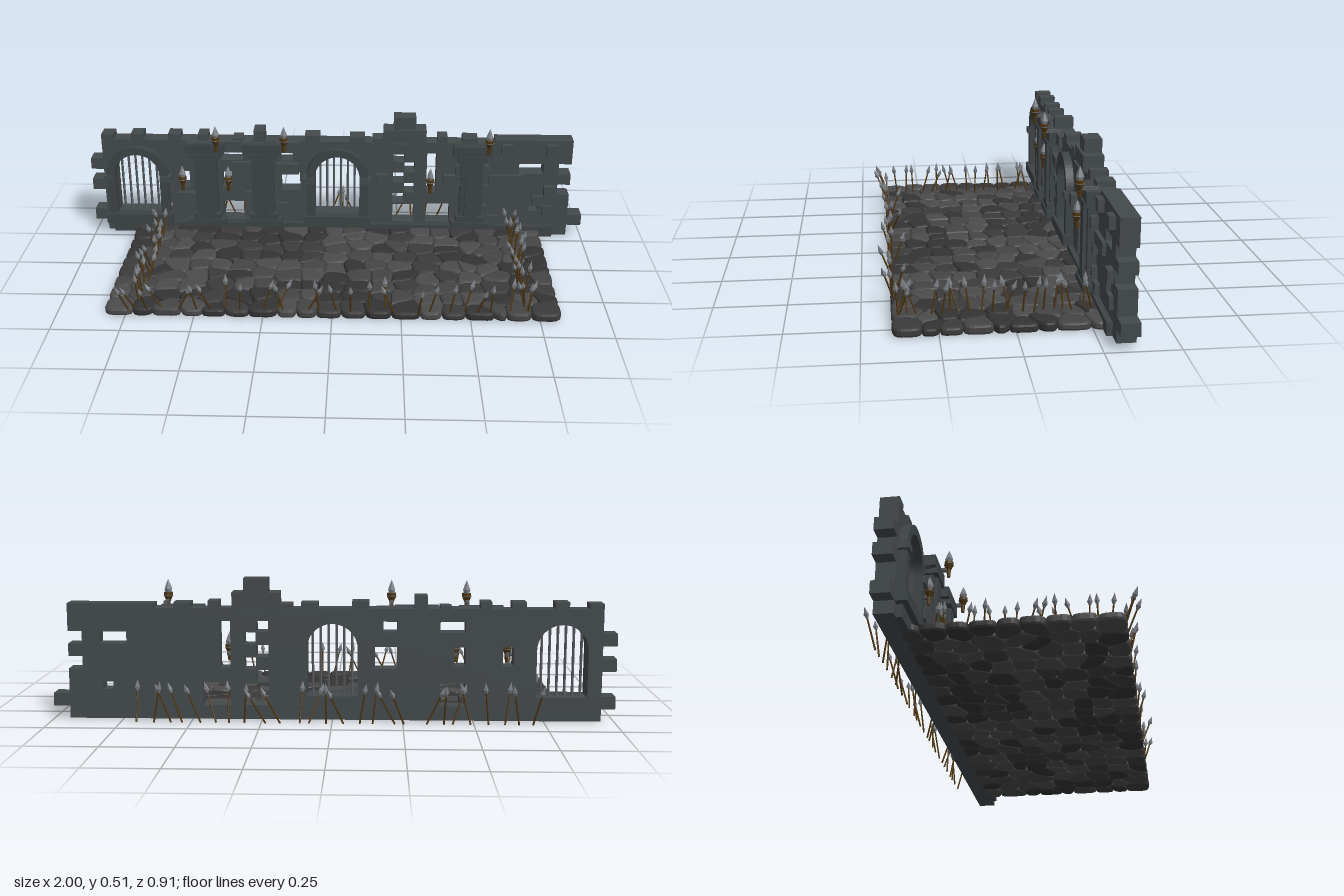
import * as THREE from 'three';

const mat = (color) => new THREE.MeshStandardMaterial({ color, flatShading: true, roughness: 0.9 });
const stoneMat = mat(0x43494c), trimMat = mat(0x3d4346), ironMat = mat(0x55595c);
const woodMat = mat(0x4f3610), steelMat = mat(0x7c8186);
const cobbleMats = [0x333333, 0x3b3b3b, 0x444444, 0x4b4b4b].map(mat);
const BACK = -0.365, FACE = -0.3;

let seed = 7;
const rand = (a = 0, b = 1) => {
  seed = (seed * 16807) % 2147483647;
  return a + (b - a) * (seed / 2147483647);
};

function add(parent, name, geo, material, x = 0, y = 0, z = 0) {
  const m = new THREE.Mesh(geo, material);
  m.name = name;
  m.position.set(x, y, z);
  parent.add(m);
  return m;
}

// box given by its limits
function block(parent, name, x0, x1, y0, y1, z0, z1, material = stoneMat) {
  return add(parent, name, new THREE.BoxGeometry(x1 - x0, y1 - y0, z1 - z0), material,
    (x0 + x1) / 2, (y0 + y1) / 2, (z0 + z1) / 2);
}

// round-headed outline for the gates
function arch(path, cx, r, y0, spring) {
  path.moveTo(cx - r, y0);
  path.lineTo(cx + r, y0);
  path.lineTo(cx + r, spring);
  path.absarc(cx, spring, r, 0, Math.PI, false);
  path.closePath();
  return path;
}

const gates = [-0.81, 0];
const pilasters = [-0.53, -0.3, 0.54];
// openings: x0, x1, y0, y1
const openings = [
  [-0.64, -0.6, 0.2, 0.27], [-0.47, -0.38, 0.32, 0.36], [-0.47, -0.43, 0.2, 0.27],
  [-0.47, -0.38, 0.055, 0.14], [-0.23, -0.18, 0.32, 0.36], [-0.23, -0.15, 0.19, 0.27],
  [0.225, 0.27, 0.32, 0.36], [0.27, 0.313, 0.275, 0.32], [0.225, 0.27, 0.23, 0.275],
  [0.27, 0.313, 0.185, 0.23], [0.225, 0.27, 0.14, 0.185], [0.225, 0.313, 0.055, 0.135],
  [0.36, 0.4, 0.19, 0.36], [0.36, 0.46, 0.055, 0.14], [0.73, 0.83, 0.275, 0.32], [0.78, 0.82, 0.11, 0.14],
];

function makeWall() {
  const wall = new THREE.Group();
  wall.name = 'ruinedWall';

  // main slab with toothed ends
  const outline = [[-0.95, 0.005], [0.94, 0.005], [0.94, 0.05], [0.998, 0.05], [0.998, 0.095], [0.94, 0.095],
    [0.94, 0.185], [0.89, 0.185], [0.89, 0.23], [0.94, 0.23], [0.94, 0.275], [0.89, 0.275], [0.89, 0.32],
    [0.94, 0.32], [0.94, 0.42], [0.63, 0.42], [0.63, 0.405], [-0.95, 0.405], [-0.95, 0.32], [-1, 0.32], [-1, 0.275],
    [-0.95, 0.275], [-0.95, 0.23], [-1, 0.23], [-1, 0.185], [-0.95, 0.185], [-0.95, 0.095], [-1, 0.095], [-1, 0.05],
    [-0.95, 0.05]];
  const shape = new THREE.Shape(outline.map((p) => new THREE.Vector2(...p)));
  const e = 0.0008;
  for (const [a, b, c, d] of openings) {
    shape.holes.push(new THREE.Path([[a + e, c + e], [a + e, d - e], [b - e, d - e], [b - e, c + e]]
      .map((p) => new THREE.Vector2(...p))));
  }
  for (const cx of gates) shape.holes.push(arch(new THREE.Path(), cx, 0.09, 0.09, 0.26));
  add(wall, 'wallSlab', new THREE.ExtrudeGeometry(shape, { depth: FACE - BACK, bevelEnabled: false, curveSegments: 14 }),
    stoneMat, 0, 0, BACK);

  // broken top edge: x0, x1, top
  const merlons = [[-0.95, -0.9, 0.425], [-0.83, -0.78, 0.43], [-0.68, -0.63, 0.43], [-0.56, -0.52, 0.43],
    [-0.42, -0.38, 0.415], [-0.335, -0.29, 0.45], [-0.13, -0.07, 0.43], [0.05, 0.11, 0.425],
    [0.14, 0.185, 0.42], [0.185, 0.355, 0.46], [0.225, 0.313, 0.51], [0.4, 0.44, 0.43], [0.5, 0.56, 0.425]];
  for (const [a, b, top] of merlons) block(wall, 'merlon', a, b, 0.4, top, BACK, FACE + (top > 0.43 && top < 0.5 ? 0.01 : 0));

  // plinth and raised bricks on the face
  block(wall, 'plinth', -0.92, 0.88, 0.005, 0.05, FACE - 0.01, -0.28, trimMat);
  for (let row = 0; row < 8; row++) {
    const y0 = 0.05 + row * 0.0444;
    for (let x = -0.92 + (row % 2) * 0.045; x < 0.84; x += 0.09) {
      const x1 = Math.min(x + (rand() < 0.5 ? 0.045 : 0.09), 0.88), y1 = y0 + 0.0444;
      const blocked = openings.some(([a, b, c, d]) => x < b && x1 > a && y0 < d - 0.005 && y1 > c + 0.005)
        || gates.some((g) => x < g + 0.125 && x1 > g - 0.125);
      if (rand() < 0.5 && !blocked) block(wall, 'raisedBrick', x, x1, y0, y1, FACE - 0.01, rand(-0.288, -0.272));
    }
  }

  // gates: arched surround, sill, keystone and bars
  for (const cx of gates) {
    const ring = arch(new THREE.Shape(), cx, 0.125, 0.055, 0.255);
    ring.holes.push(arch(new THREE.Path(), cx, 0.09, 0.09, 0.26));
    add(wall, 'gateSurround', new THREE.ExtrudeGeometry(ring, { depth: 0.035, bevelEnabled: false, curveSegments: 14 }),
      trimMat, 0, 0, FACE - 0.005);
    block(wall, 'gateSill', cx - 0.135, cx + 0.135, 0.05, 0.09, FACE - 0.01, -0.26, trimMat);
    for (const s of [-1, 1]) block(wall, 'gateImpost', cx + s * 0.115 - 0.022, cx + s * 0.115 + 0.022, 0.235, 0.26, FACE - 0.01, -0.262);
    for (let i = 0; i < 6; i++) {
      const dx = -0.07 + i * 0.028, top = 0.26 + Math.sqrt(0.0081 - dx * dx);
      add(wall, 'gateBar', new THREE.CylinderGeometry(0.005, 0.005, top - 0.085, 6), ironMat,
        cx + dx, (top + 0.085) / 2, -0.33);
    }
  }

  // stepped pilasters
  for (const cx of pilasters) {
    const steps = [[0.075, 0.05, 0.075, -0.25], [0.058, 0.075, 0.1, -0.255], [0.045, 0.1, 0.345, -0.268],
      [0.024, 0.1, 0.345, -0.255], [0.058, 0.345, 0.365, -0.25], [0.078, 0.365, 0.405, -0.255]];
    for (const [h, y0, y1, z] of steps) block(wall, 'pilasterBlock', cx - h, cx + h, y0, y1, FACE - 0.01, z, trimMat);
  }
  return wall;
}

const lathe = (pts, n) => new THREE.LatheGeometry(pts.map((p) => new THREE.Vector2(...p)), n);
const basketGeo = lathe([[0, 0], [0.006, 0], [0.008, 0.028], [0.016, 0.046], [0.016, 0.06], [0.011, 0.06], [0, 0.05]], 8);
const flameGeo = lathe([[0, 0.045], [0.009, 0.055], [0.0145, 0.072], [0.007, 0.092], [0, 0.108]], 6);
const bandGeo = new THREE.TorusGeometry(0.0155, 0.0025, 4, 8).rotateX(Math.PI / 2);

function makeTorch(x, y, z) {
  const torch = new THREE.Group();
  torch.name = 'torch';
  torch.position.set(x, y, z);
  add(torch, 'torchBasket', basketGeo, woodMat);
  add(torch, 'torchFlame', flameGeo, steelMat);
  add(torch, 'torchBand', bandGeo, ironMat, 0, 0.048, 0);
  block(torch, 'torchBracket', -0.006, 0.006, 0.024, 0.036, FACE - z, 0, ironMat);
  return torch;
}

const shaftGeo = new THREE.CylinderGeometry(0.003, 0.0035, 0.12, 5).translate(0, 0.06, 0);
const headGeo = lathe([[0, 0.11], [0.004, 0.112], [0.009, 0.124], [0, 0.152]], 4);

function makeSpear(x, z, leanX, leanZ) {
  const spear = new THREE.Group();
  spear.name = 'spear';
  spear.position.set(x, 0.004, z);
  spear.rotation.set(leanZ, rand(0, 0.4), -leanX);
  add(spear, 'spearShaft', shaftGeo, woodMat);
  add(spear, 'spearHead', headGeo, steelMat);
  return spear;
}

// keep the part of a convex polygon nearer to a than to b
function clipNearer(poly, a, b) {
  const nx = b[0] - a[0], ny = b[1] - a[1];
  const side = (p) => (p[0] - (a[0] + b[0]) / 2) * nx + (p[1] - (a[1] + b[1]) / 2) * ny;
  const out = [];
  poly.forEach((p, i) => {
    const q = poly[(i + 1) % poly.length], s = side(p), t = side(q);
    if (s <= 0) out.push(p);
    if (s * t < 0) out.push([p[0] + (q[0] - p[0]) * s / (s - t), p[1] + (q[1] - p[1]) * s / (s - t)]);
  });
  return out;
}

// cobbled floor: cells around jittered grid points, with cut corners
function makeFloor() {
  const floor = new THREE.Group();
  floor.name = 'cobbledFloor';
  const X = 0.825, Z0 = -0.31, Z1 = 0.4, nx = 19, nz = 9;
  const sites = [];
  for (let i = 0; i < nx; i++) for (let j = 0; j < nz; j++) {
    sites.push([-X + (i + 0.5 + rand(-0.3, 0.3)) * 2 * X / nx, -Z1 + (j + 0.5 + rand(-0.3, 0.3)) * (Z1 - Z0) / nz]);
  }
  for (const s of sites) {
    let poly = [[-X, -Z1], [X, -Z1], [X, -Z0], [-X, -Z0]];
    for (const o of sites) if (o !== s && Math.hypot(o[0] - s[0], o[1] - s[1]) < 0.3) poly = clipNearer(poly, s, o);
    for (let k = 0; k < 2; k++) {
      poly = poly.flatMap((p, i) => {
        const q = poly[(i + 1) % poly.length];
        return [0.2, 0.8].map((t) => [p[0] + (q[0] - p[0]) * t, p[1] + (q[1] - p[1]) * t]);
      });
    }
    const shape = new THREE.Shape(poly.map(([x, y]) => new THREE.Vector2(s[0] + (x - s[0]) * 1.01, s[1] + (y - s[1]) * 1.01)));
    const geo = new THREE.ExtrudeGeometry(shape, { depth: rand(0.011, 0.017), bevelEnabled: true,
      bevelThickness: 0.009, bevelSize: 0.01, bevelOffset: -0.01, bevelSegments: 2 });
    geo.rotateX(-Math.PI / 2);
    add(floor, 'cobble', geo, cobbleMats[Math.floor(rand(0, 4))], 0, 0.01, 0);
  }
  return floor;
}

export function createModel() {
  const model = new THREE.Group();
  model.name = 'ruinedCourtyard';
  model.add(makeWall(), makeFloor());

  // torches over the pilasters and in the lower openings
  for (const x of [-0.48, -0.21, 0.6]) model.add(makeTorch(x, 0.385, -0.235));
  for (const x of [-0.625, -0.44, 0.375]) model.add(makeTorch(x, 0.2, -0.268));

  // spears along the front, behind the wall and down both sides
  const spears = new THREE.Group();
  spears.name = 'spears';
  for (let i = 0; i < 26; i++) {
    const x = -0.72 + i * 0.0565;
    spears.add(makeSpear(x + rand(-0.015, 0.015), 0.385, rand(-0.5, 0.5), rand(-0.35, 0.45)));
    spears.add(makeSpear(x + rand(-0.015, 0.015), -0.42, rand(-0.5, 0.5), rand(-0.35, 0.3)));
  }
  for (const s of [-1, 1]) for (let i = 0; i < 20; i++) {
    spears.add(makeSpear(s * 0.705, -0.27 + i * 0.034, rand(-0.35, 0.3), rand(-0.3, 0.3)));
  }
  model.add(spears);
  return model;
}
